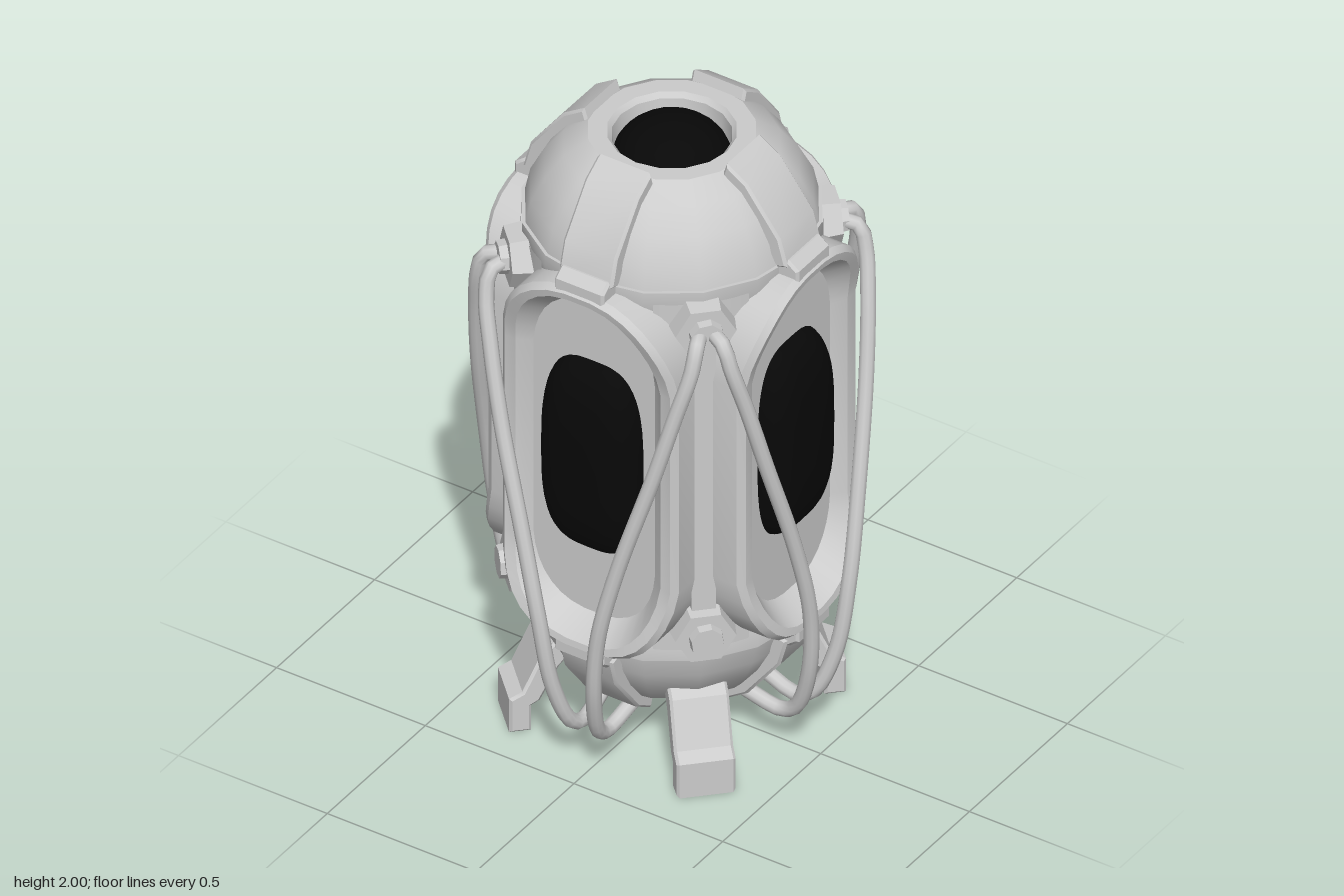
import * as THREE from 'three';
import { toCreasedNormals } from 'three/addons/utils/BufferGeometryUtils.js';

const MID = 1.07; // height of the body's mirror plane
const grey = new THREE.MeshStandardMaterial({ color: 0xcccccc });
const black = new THREE.MeshStandardMaterial({ color: 0x080808 });

function add(parent, name, geometry, material = grey, crease = 0.5) {
  const mesh = new THREE.Mesh(crease ? toCreasedNormals(geometry, crease) : geometry, material);
  mesh.name = name;
  parent.add(mesh);
  return mesh;
}

// Closed [r, y] profile extruded sideways, facing +z
function strip(points, width) {
  const shape = new THREE.Shape(points.map(([r, y]) => new THREE.Vector2(r, y)));
  const bevel = 0.008;
  const g = new THREE.ExtrudeGeometry(shape, {
    depth: width - 2 * bevel, bevelEnabled: true, bevelSize: bevel, bevelOffset: -bevel,
    bevelThickness: bevel, bevelSegments: 1,
  });
  return g.translate(0, 0, bevel - width / 2).rotateY(-Math.PI / 2);
}

// Window frame and its sunken panel, lofted through shrinking rounded loops
function windowGeometry() {
  const straight = 0.3, n = 32;
  const flare = y => 0.43 + 0.055 * THREE.MathUtils.smoothstep(Math.abs(y), 0.3, 0.6);
  // half width, half height, depth
  const loops = [
    [0.297, 0.625, () => 0.28],
    [0.297, 0.625, y => flare(y) - 0.02],
    [0.28, 0.61, flare],
    [0.245, 0.59, y => flare(y) - 0.003],
    [0.205, 0.535, () => 0.397],
    [0, straight, () => 0.397],
  ];
  const pos = [], index = [];
  loops.forEach(([hw, hh, depth], j) => {
    for (let i = 0; i < n; i++) {
      const t = ((i + 0.5) / n) * Math.PI * 2, c = Math.cos(t), s = Math.sin(t);
      const x = hw * Math.sign(c) * Math.abs(c) ** 0.8;
      const y = Math.sign(s) * (straight + (hh - straight) * Math.abs(s) ** 0.9);
      pos.push(x, y + MID, depth(y));
      if (j) {
        const k = (i + 1) % n, a = (j - 1) * n, b = j * n;
        index.push(a + i, a + k, b + k, a + i, b + k, b + i);
      }
    }
  });
  const g = new THREE.BufferGeometry();
  g.setAttribute('position', new THREE.Float32BufferAttribute(pos, 3));
  g.setIndex(index);
  return g;
}

// Bulging lens: a sphere squared off by a power rule
function lensGeometry() {
  const g = new THREE.SphereGeometry(1, 32, 24);
  const p = g.attributes.position;
  const square = (v, e) => Math.sign(v) * Math.abs(v) ** e;
  for (let i = 0; i < p.count; i++) {
    p.setXYZ(i, 0.168 * square(p.getX(i), 0.62), 0.328 * square(p.getY(i), 0.65) + 1.085,
      0.36 + 0.125 * square(p.getZ(i), 0.75));
  }
  g.computeVertexNormals();
  return g;
}

export function createModel() {
  const model = new THREE.Group();
  model.name = 'capsulePod';

  // Shell with domed ends and a port at each end
  const half = [[0.02, 0.26], [0.165, 0.26], [0.172, 0.185], [0.185, 0.17], [0.24, 0.17], [0.31, 0.215],
    [0.365, 0.285], [0.405, 0.36], [0.42, 0.43], [0.43, 0.43], [0.43, 0.47], [0.42, 0.515], [0.38, 0.55]];
  const profile = [...half, ...half.map(([r, y]) => [r, 2 * MID - y]).reverse()];
  add(model, 'shell', new THREE.LatheGeometry(profile.map(([r, y]) => new THREE.Vector2(r, y)), 16));
  for (const s of [1, -1]) {
    const eye = add(model, s > 0 ? 'topPortLens' : 'bottomPortLens', new THREE.SphereGeometry(0.17, 24, 16), black, 0);
    eye.scale.y = 0.75;
    eye.position.y = MID + s * 0.802;
  }

  const frame = windowGeometry(), lens = lensGeometry();
  const strap = strip([[0.22, 1.94], [0.24, 2], [0.31, 1.955], [0.42, 1.81], [0.445, 1.72],
    [0.41, 1.71], [0.4, 1.72], [0.35, 1.82], [0.28, 1.9]], 0.18);
  const hook = strip([[0.4, 1.74], [0.445, 1.74], [0.478, 1.715], [0.478, 1.665], [0.4, 1.665]], 0.165);
  const hosePath = [[0.315, 1.605, 0.33], [0.345, 1.59, 0.4], [0.345, 1.52, 0.425], [0.31, 1.37, 0.455],
    [0.255, 1.15, 0.485], [0.16, 0.82, 0.52], [0.1, 0.56, 0.531], [0.07, 0.32, 0.505],
    [0.048, 0.17, 0.445], [0.042, 0.14, 0.39], [0.05, 0.17, 0.28]];

  for (let k = 0; k < 4; k++) {
    // One face: window, straps and a pair of hoses
    const side = new THREE.Group();
    side.name = ['front', 'left', 'back', 'right'][k] + 'Side';
    side.rotation.y = k * Math.PI / 2;
    model.add(side);
    add(side, 'windowFrame', frame, grey, 0.45);
    if (k !== 3) add(side, 'windowLens', lens, black, 0);
    for (const s of [1, -1]) {
      const clasp = new THREE.Group();
      clasp.name = s > 0 ? 'topStrap' : 'bottomStrap';
      clasp.scale.y = s;
      clasp.position.y = MID - s * MID;
      side.add(clasp);
      add(clasp, 'strap', strap);
      add(clasp, 'strapHook', hook);
      const curve = new THREE.CatmullRomCurve3(hosePath.map(([x, y, z]) => new THREE.Vector3(s * x, y, z)));
      add(side, 'hose', new THREE.TubeGeometry(curve, 48, 0.023, 10), grey, 0);
    }

    // One corner: pillar, bolts and leg
    const corner = new THREE.Group();
    corner.name = 'corner';
    corner.rotation.y = (k + 0.5) * Math.PI / 2;
    model.add(corner);
    const fill = new THREE.CylinderGeometry(0.425, 0.425, 1.2, 6, 1, true, -0.33, 0.66);
    add(corner, 'cornerPanel', fill.translate(0, MID, 0));
    add(corner, 'pillar', new THREE.BoxGeometry(0.07, 1, 0.06).translate(0, MID, 0.415));
    for (const top of [true, false]) {
      const bolt = new THREE.Group();
      bolt.name = top ? 'hoseSocket' : 'bolt';
      bolt.position.set(0, top ? 1.6 : 0.54, 0.42);
      bolt.rotation.x = Math.PI / 2;
      corner.add(bolt);
      const disc = (name, r, h, n, y) => add(bolt, name,
        new THREE.CylinderGeometry(r * 0.92, r, h, n).rotateY(Math.PI / 6).translate(0, y, 0));
      disc('base', 0.095, 0.06, 6, 0.025);
      disc('stud', 0.052, 0.03, 8, 0.065);
    }
    add(corner, 'leg', strip([[0.29, 0.27], [0.33, 0.31], [0.385, 0.27], [0.445, 0.135], [0.483, 0.115], [0.483, 0],
      [0.42, 0], [0.42, 0.085], [0.395, 0.1], [0.34, 0.21]], 0.17));
  }
  return model;
}
